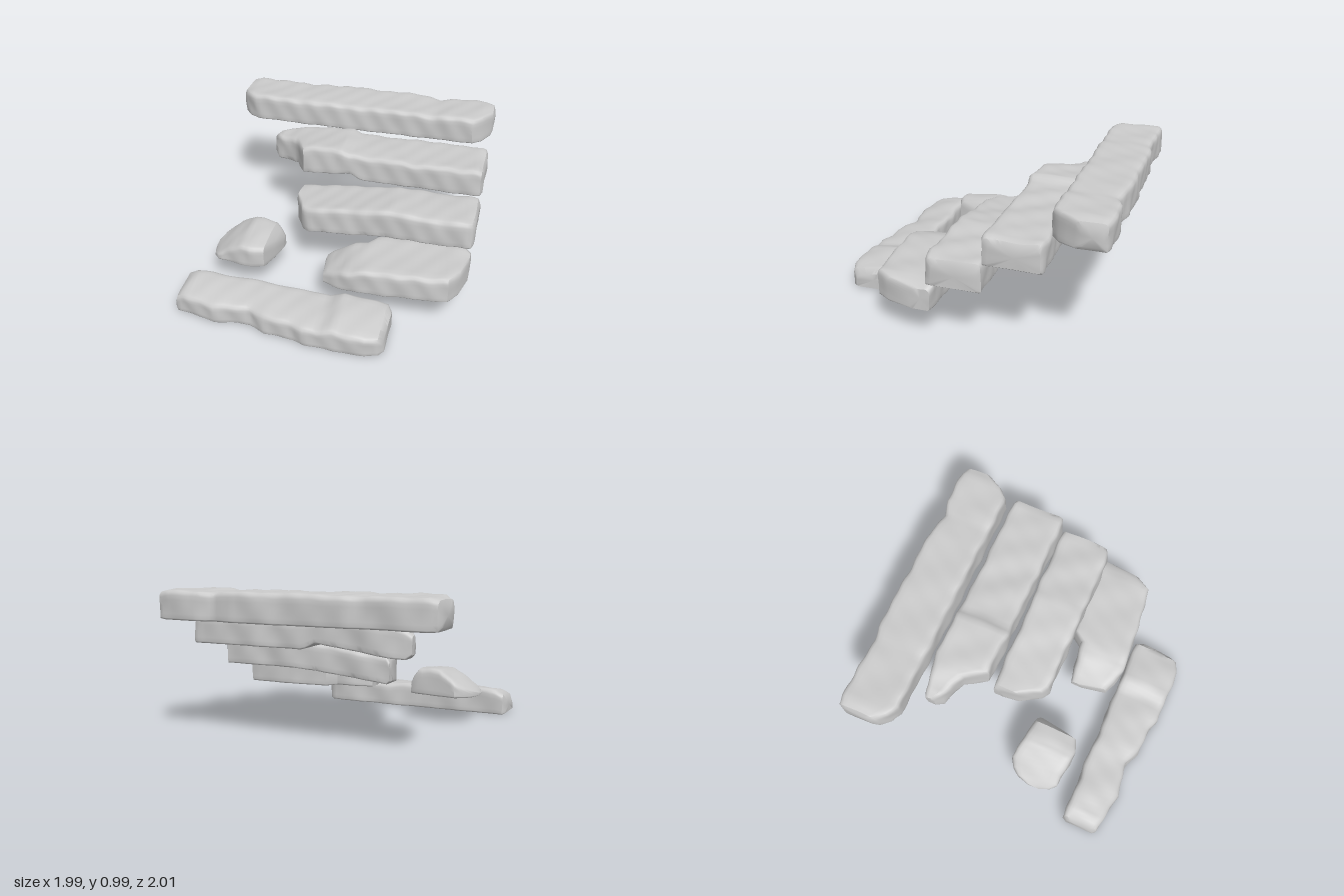
import * as THREE from 'three';
import { toCreasedNormals } from 'three/addons/utils/BufferGeometryUtils.js';

const stone = new THREE.MeshStandardMaterial({ color: 0xcccccc });

// Smooth worn-stone unevenness
const wear = (a, b, c, s) =>
  0.5 * Math.sin(9 * a + 5 * b + s) * Math.cos(11 * c - 4 * a + 2 * s) +
  0.35 * Math.sin(21 * a - 13 * c + 3 * s) * Math.cos(17 * b + s) +
  0.25 * Math.sin(37 * a + 19 * b + 23 * c + s);

// Rounded block section, ordered top -> front -> bottom -> back
function section(y0, y1, z0, z1, drop) {
  const h = y1 - y0, d = z1 - z0;
  const rt = Math.min(0.035, h / 3, d / 3), rb = Math.min(0.012, h / 3, d / 3);
  const corners = [
    [z1 - rt, y1 - rt, rt, 0], [z1 - rb, y0 + rb, rb, 1],
    [z0 + rb, y0 + rb, rb, 2], [z0 + rt, y1 - rt, rt, 3],
  ];
  const arcs = corners.map(([z, y, r, q]) => [0, 1, 2, 3].map((k) => {
    const t = (q + k / 3) * Math.PI / 2;
    return [z + r * Math.sin(t), y + r * Math.cos(t)];
  }));
  const ring = [];
  arcs.forEach((arc, i) => {
    ring.push(...arc);
    const a = arc[3], b = arcs[(i + 1) % 4][0], n = i % 2 ? 9 : 5;
    for (let k = 1; k < n; k++) {
      ring.push([a[0] + (b[0] - a[0]) * k / n, a[1] + (b[1] - a[1]) * k / n]);
    }
  });
  // Tread worn lower toward its front edge
  return ring.map(([z, y]) => [z, y - drop * ((y - y0) / h) * ((z - z0) / d) ** 2]);
}

// Slab lofted along x through stations [x, bottom, top, back, front]
function slab(name, stations, seed, { drop = 0, rough = 0.011 } = {}) {
  const rows = [];
  for (let i = 0; i < stations.length - 1; i++) {
    const a = stations[i], b = stations[i + 1];
    const n = Math.max(1, Math.round((b[0] - a[0]) / 0.03));
    for (let k = 0; k < n; k++) rows.push(a.map((v, m) => v + (b[m] - v) * k / n));
  }
  rows.push(stations[stations.length - 1]);

  const pos = [], index = [];
  let count = 0;
  rows.forEach(([x, y0, y1, z0, z1]) => {
    const ring = section(y0, y1, z0, z1, drop);
    count = ring.length;
    ring.forEach(([z, y]) => {
      const v = (y - y0) / (y1 - y0), w = (z - z0) / (z1 - z0) * 2 - 1;
      const e = rough * wear(x, y, z, seed);
      pos.push(
        x + 0.6 * rough * wear(y, z, x, seed + 2),
        y + e * v - 0.004 * v,
        z + rough * wear(x, z, y, seed + 5) * w - 0.004 * w,
      );
    });
  });
  for (let i = 0; i < rows.length - 1; i++) {
    for (let j = 0; j < count; j++) {
      const k = (j + 1) % count, a = i * count, b = a + count;
      index.push(a + j, a + k, b + k, a + j, b + k, b + j);
    }
  }
  // End faces
  [0, rows.length - 1].forEach((i) => {
    const [x, y0, y1, z0, z1] = rows[i];
    const c = pos.length / 3;
    pos.push(x, (y0 + y1) / 2, (z0 + z1) / 2);
    for (let j = 0; j < count; j++) {
      const a = i * count + j, b = i * count + (j + 1) % count;
      if (i) index.push(c, a, b); else index.push(c, b, a);
    }
  });

  const geo = new THREE.BufferGeometry();
  geo.setAttribute('position', new THREE.Float32BufferAttribute(pos, 3));
  geo.setIndex(index);
  const mesh = new THREE.Mesh(toCreasedNormals(geo, 0.75), stone);
  mesh.name = name;
  return mesh;
}

export function createModel() {
  const group = new THREE.Group();
  group.name = 'ruinedStoneSteps';
  group.add(
    slab('bottomStep', [
      [-0.96, 0.02, 0.12, 0.64, 0.86], [-0.94, 0.01, 0.17, 0.61, 0.88], [-0.88, 0.01, 0.2, 0.61, 0.89],
      [-0.75, 0.01, 0.205, 0.61, 0.91], [-0.65, 0.01, 0.2, 0.615, 0.93], [-0.55, 0.01, 0.2, 0.61, 0.91],
      [-0.4, 0.01, 0.2, 0.61, 0.9], [-0.28, 0.01, 0.2, 0.62, 0.95], [-0.08, 0.01, 0.195, 0.61, 0.97],
      [0, 0.01, 0.19, 0.61, 1], [0.1, 0.01, 0.185, 0.615, 1], [0.2, 0.01, 0.22, 0.61, 1],
      [0.42, 0.01, 0.2, 0.61, 1], [0.5, 0.01, 0.19, 0.62, 0.97], [0.53, 0.02, 0.15, 0.65, 0.93],
    ], 1, { drop: 0.045 }),

    slab('looseBlock', [
      [-0.85, 0.21, 0.235, 0.29, 0.38], [-0.82, 0.21, 0.26, 0.2, 0.46], [-0.78, 0.21, 0.29, 0.15, 0.495],
      [-0.72, 0.21, 0.335, 0.11, 0.5], [-0.6, 0.21, 0.4, 0.13, 0.525], [-0.52, 0.21, 0.405, 0.145, 0.53],
      [-0.43, 0.21, 0.395, 0.16, 0.5], [-0.395, 0.21, 0.35, 0.165, 0.38], [-0.37, 0.21, 0.3, 0.175, 0.25],
    ], 4, { drop: 0.03, rough: 0.008 }),

    slab('secondStep', [
      [-0.01, 0.21, 0.27, 0.28, 0.38], [0.02, 0.21, 0.3, 0.27, 0.56], [0.1, 0.21, 0.345, 0.26, 0.59],
      [0.18, 0.21, 0.38, 0.25, 0.615], [0.27, 0.21, 0.4, 0.24, 0.62], [0.33, 0.21, 0.405, 0.16, 0.615],
      [0.6, 0.21, 0.405, 0.13, 0.59], [0.78, 0.21, 0.405, 0.13, 0.575], [0.88, 0.21, 0.405, 0.13, 0.56],
      [0.94, 0.21, 0.395, 0.13, 0.46], [0.98, 0.21, 0.37, 0.14, 0.28],
    ], 7, { drop: 0.012 }),

    slab('thirdStep', [
      [-0.35, 0.35, 0.49, -0.2, -0.11], [-0.33, 0.33, 0.525, -0.2, 0], [-0.25, 0.34, 0.535, -0.2, 0.15],
      [-0.2, 0.345, 0.54, -0.2, 0.18], [0, 0.365, 0.565, -0.2, 0.19], [0.2, 0.385, 0.59, -0.2, 0.19],
      [0.4, 0.4, 0.615, -0.21, 0.19], [0.6, 0.4, 0.605, -0.21, 0.19], [0.94, 0.4, 0.605, -0.21, 0.185],
      [0.97, 0.4, 0.6, -0.21, 0.17], [0.985, 0.41, 0.57, -0.19, 0.13],
    ], 11),

    slab('fourthStep', [
      [-0.66, 0.6, 0.73, -0.56, -0.48], [-0.62, 0.57, 0.765, -0.575, -0.44], [-0.52, 0.575, 0.78, -0.59, -0.405],
      [-0.44, 0.585, 0.795, -0.6, -0.36], [-0.35, 0.6, 0.81, -0.61, -0.21], [-0.2, 0.62, 0.825, -0.61, -0.205],
      [-0.05, 0.64, 0.835, -0.61, -0.195], [0.01, 0.645, 0.805, -0.61, -0.2], [0.08, 0.61, 0.8, -0.61, -0.2],
      [0.12, 0.6, 0.8, -0.61, -0.2], [0.6, 0.6, 0.8, -0.61, -0.2], [0.94, 0.6, 0.8, -0.61, -0.2],
      [0.97, 0.6, 0.79, -0.6, -0.21], [0.985, 0.61, 0.76, -0.59, -0.25],
    ], 15),

    slab('topStep', [
      [-0.995, 0.83, 0.95, -0.96, -0.75], [-0.98, 0.805, 0.985, -0.99, -0.71], [-0.92, 0.8, 1, -1, -0.65],
      [-0.85, 0.8, 1, -1, -0.61], [-0.6, 0.8, 1, -0.985, -0.61], [-0.5, 0.8, 0.995, -0.985, -0.61],
      [-0.4, 0.8, 1, -1, -0.61], [0.4, 0.8, 1, -1, -0.61], [0.55, 0.8, 0.99, -0.97, -0.615],
      [0.66, 0.8, 1, -1, -0.61], [0.85, 0.8, 1, -1, -0.615], [0.91, 0.8, 1, -1, -0.67],
      [0.97, 0.805, 0.985, -0.985, -0.78], [0.985, 0.83, 0.95, -0.96, -0.82],
    ], 19),
  );
  return group;
}
